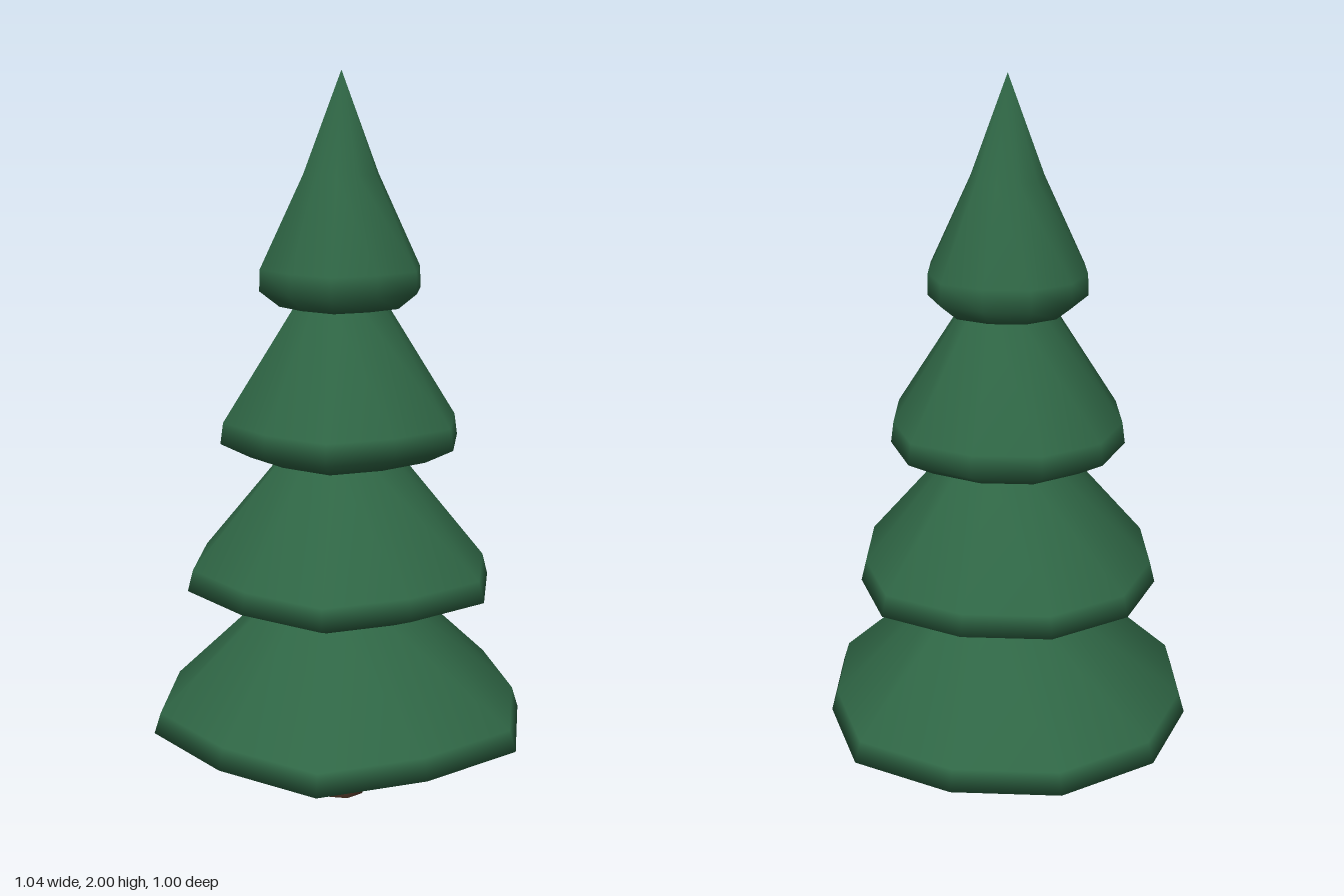
import * as THREE from 'three';
import { mergeVertices } from 'three/addons/utils/BufferGeometryUtils.js';

// Uneven reach of the eleven corners, counted from +x towards -z
const REACH = [1.04, 0.96, 1.02, 0.97, 0.995, 1.0, 0.975, 1.035, 0.965, 1.045, 0.96];

// Turned form with welded vertices; reach varies the radius per corner
function turned(profile, sides, reach) {
  const points = profile.map(([r, y]) => new THREE.Vector2(r, y));
  let geo = new THREE.LatheGeometry(points, sides, Math.PI / 2);
  const pos = geo.attributes.position;
  for (let i = 0; reach && i < pos.count; i++) {
    const x = pos.getX(i), z = pos.getZ(i);
    const corner = Math.round((Math.atan2(-z, x) / (2 * Math.PI)) * sides);
    const k = reach[(corner + sides) % sides];
    pos.setX(i, x * k);
    pos.setZ(i, z * k);
  }
  geo.deleteAttribute('uv');
  geo.deleteAttribute('normal');
  geo = mergeVertices(geo, 1e-4);
  geo.computeVertexNormals();
  return geo;
}

export function createModel() {
  const tree = new THREE.Group();
  tree.name = 'pineTree';
  const green = new THREE.MeshStandardMaterial({ color: 0x2f6645 });
  const brown = new THREE.MeshStandardMaterial({ color: 0x5a3d2c });

  // Trunk with a flared foot
  const trunk = new THREE.Mesh(turned([
    [0, 0], [0.067, 0], [0.05, 0.06], [0.046, 0.26], [0, 0.26],
  ], 8), brown);
  trunk.name = 'trunk';
  trunk.position.set(-0.015, 0, 0.01);
  tree.add(trunk);

  // Four tiers of branches: base height, radius, shoulder ratio, upper profile
  const tiers = [
    { y: 0.2, r: 0.52, shoulder: 0.965, upper: [[0.19, 0.6], [0, 0.77]] },
    { y: 0.6, r: 0.42, shoulder: 0.965, upper: [[0.155, 1.0], [0, 1.16]] },
    { y: 1.0, r: 0.325, shoulder: 0.975, upper: [[0.125, 1.4], [0, 1.6]] },
    { y: 1.4, r: 0.217, shoulder: 0.99, upper: [[0.1, 1.74], [0, 2.0]] },
  ];
  tiers.forEach(({ y, r, shoulder, upper }, i) => {
    const profile = [
      [0, y], [r * 0.76, y], [r, y + 0.043], [r * shoulder, y + 0.1], ...upper,
    ];
    const tier = new THREE.Mesh(turned(profile, 11, REACH), green);
    tier.name = `branchTier${i + 1}`;
    tier.position.x = -0.02;
    tree.add(tier);
  });
  return tree;
}
